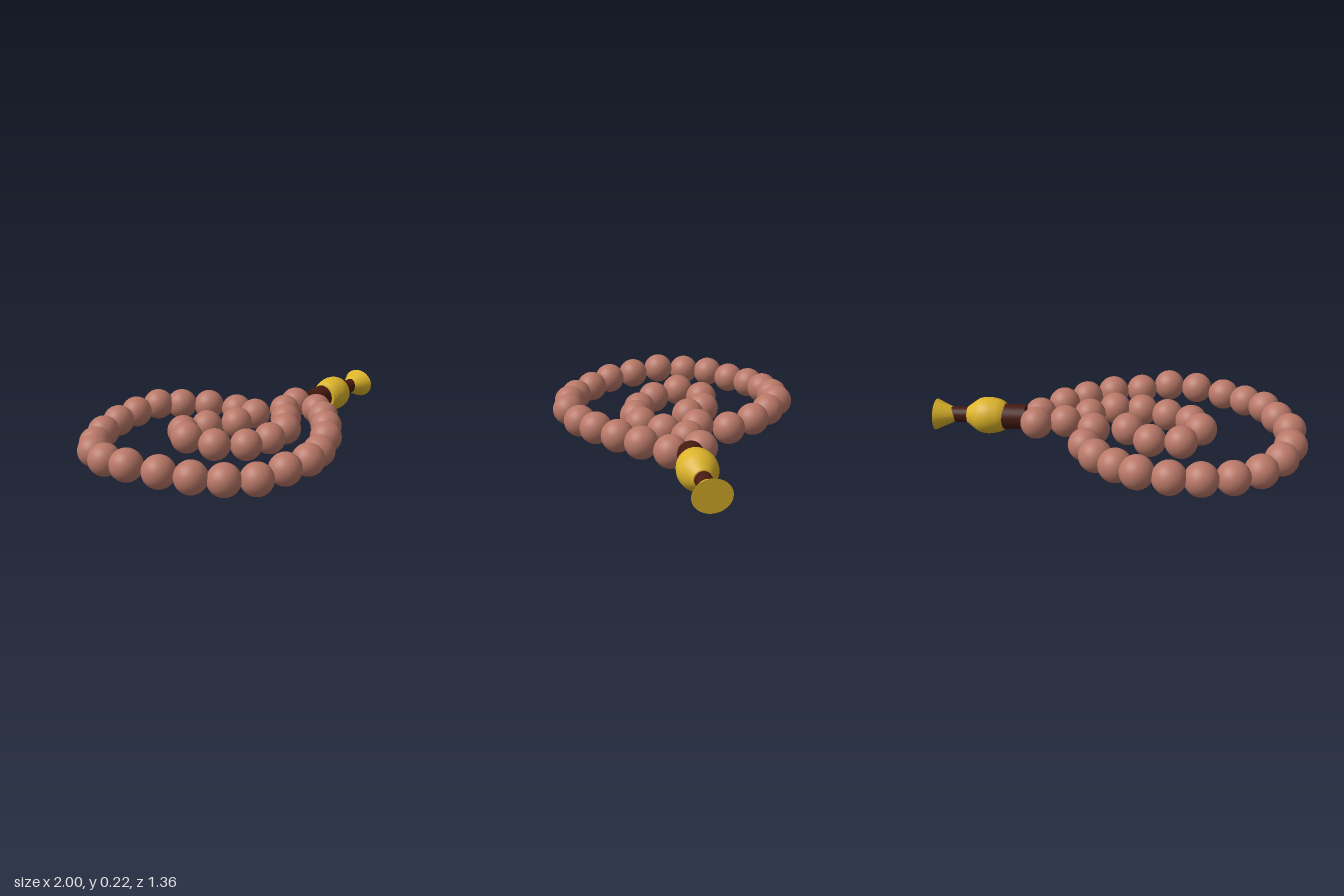
import * as THREE from 'three';

const BEAD_RADIUS = 0.088;

// Bead centres along the string: [x, y, z]
const BEADS = [
  // inner loop
  [0.40, 0.11, -0.375], [0.28, 0.11, -0.27], [0.22, 0.11, -0.12], [0.15, 0.11, 0.03],
  [0.02, 0.1, 0.11], [-0.13, 0.095, 0.14], [-0.30, 0.11, 0.11], [-0.42, 0.131, 0],
  [-0.39, 0.11, -0.155], [-0.23, 0.1, -0.21], [-0.065, 0.11, -0.17], [0.09, 0.11, -0.27],
  // outer loop
  [0.035, 0.095, -0.43], [-0.105, 0.11, -0.53], [-0.26, 0.12, -0.58], [-0.40, 0.131, -0.60],
  [-0.55, 0.12, -0.545], [-0.68, 0.11, -0.46], [-0.795, 0.1, -0.345], [-0.875, 0.095, -0.20],
  [-0.915, 0.11, -0.05], [-0.895, 0.115, 0.105], [-0.82, 0.131, 0.255], [-0.69, 0.122, 0.38],
  [-0.56, 0.115, 0.49], [-0.41, 0.1, 0.55], [-0.25, 0.092, 0.585], [-0.085, 0.108, 0.555],
  [0.07, 0.112, 0.495], [0.19, 0.097, 0.375], [0.30, 0.11, 0.235], [0.38, 0.112, 0.08],
  [0.435, 0.112, -0.07], [0.475, 0.1, -0.24],
];

const beadMaterial = new THREE.MeshStandardMaterial({ color: 0xb97868 });
const goldMaterial = new THREE.MeshStandardMaterial({ color: 0xdcb32a });
const cordMaterial = new THREE.MeshStandardMaterial({ color: 0x451a10 });

// Capped cylinder or cone along local x, from x0 (radius r0) to x1 (radius r1)
function rod(name, x0, x1, r0, r1, material) {
  const geometry = new THREE.CylinderGeometry(r1, r0, x1 - x0, 32).rotateZ(-Math.PI / 2);
  const mesh = new THREE.Mesh(geometry, material);
  mesh.name = name;
  mesh.position.x = (x0 + x1) / 2;
  return mesh;
}

function createBeads() {
  const group = new THREE.Group();
  group.name = 'beadString';
  const geometry = new THREE.SphereGeometry(BEAD_RADIUS, 32, 20);
  BEADS.forEach((position, i) => {
    const bead = new THREE.Mesh(geometry, beadMaterial);
    bead.name = `bead${i + 1}`;
    bead.position.set(...position);
    group.add(bead);
  });
  return group;
}

function createPendant() {
  const group = new THREE.Group();
  group.name = 'pendant';

  // Dark collar joining the two ends of the string
  const collar = rod('collar', -0.205, -0.07, 0.068, 0.071, cordMaterial);
  collar.position.z = -0.01;

  // Rounded gold bead: smooth side curve with flat ends
  const side = new THREE.SplineCurve([
    [0.074, -0.09], [0.09, -0.062], [0.1, -0.02], [0.102, 0.015],
    [0.094, 0.055], [0.069, 0.093], [0.045, 0.125],
  ].map(([r, t]) => new THREE.Vector2(r, t))).getPoints(24);
  const profile = [new THREE.Vector2(0, -0.09), ...side, new THREE.Vector2(0, 0.125)];
  const goldBead = new THREE.Mesh(
    new THREE.LatheGeometry(profile, 40).rotateZ(-Math.PI / 2), goldMaterial);
  goldBead.name = 'goldBead';

  // Short dark neck and flared gold end, slightly wider than tall
  const neck = rod('neck', 0.11, 0.22, 0.043, 0.043, cordMaterial);
  const flare = rod('flaredEnd', 0.195, 0.304, 0.037, 0.085, goldMaterial);
  flare.scale.z = 1.15;
  flare.position.y = -0.003;

  group.add(collar, goldBead, neck, flare);
  group.position.set(0.68, 0.111, -0.437);
  group.rotation.y = 0.502;
  return group;
}

export function createModel() {
  const model = new THREE.Group();
  model.name = 'beadStrand';
  model.add(createBeads(), createPendant());
  return model;
}
